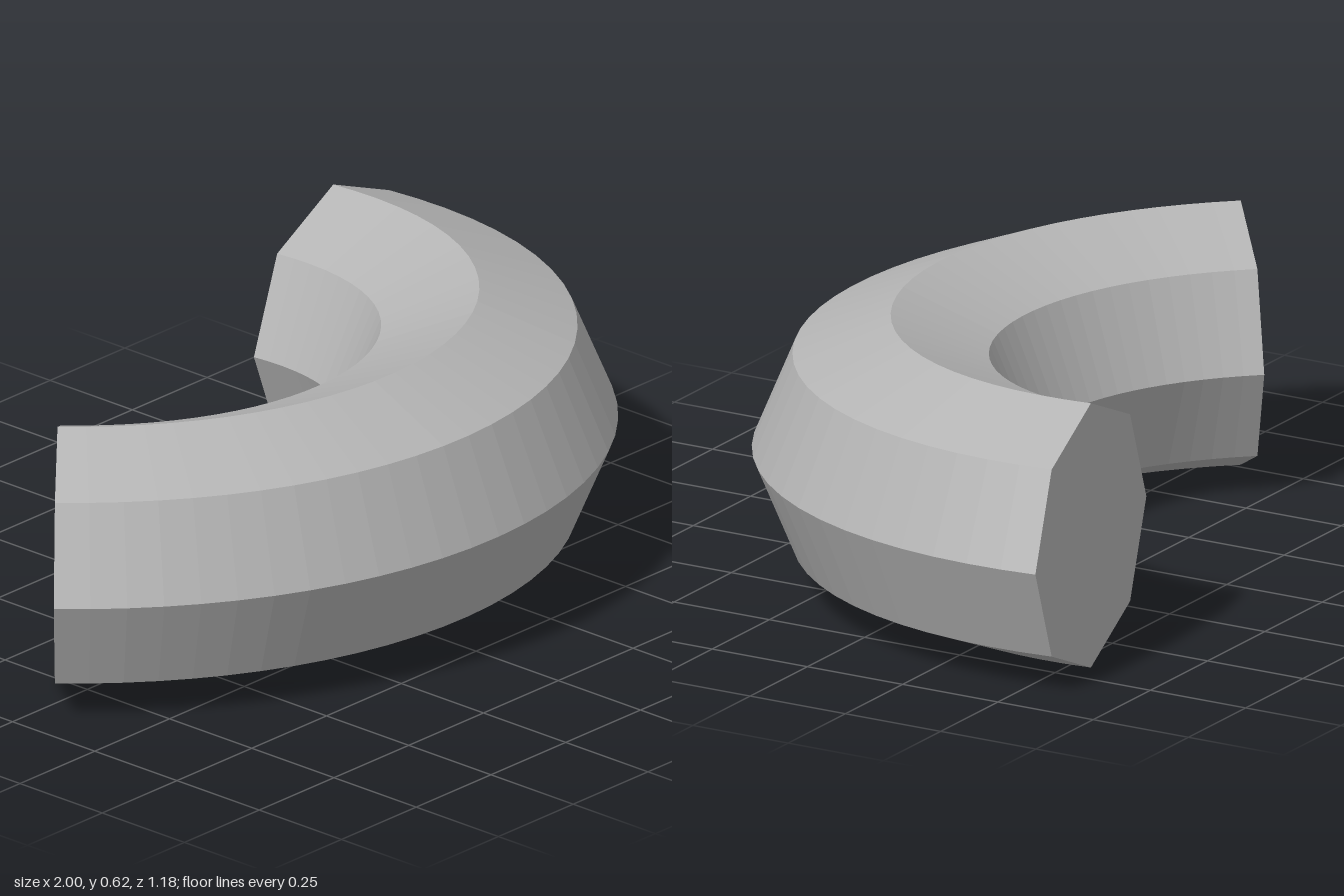
import * as THREE from 'three';

const RADIUS = 0.3125;
const SIDES = 8;

export function createModel() {
  const group = new THREE.Group();
  group.name = 'curvedTube';
  const grey = new THREE.MeshStandardMaterial({ color: 0xb4b4b4, flatShading: true });
  grey.name = 'grey';

  // Centre line of the bend, lying flat at half height
  const path = new THREE.CubicBezierCurve3(
    new THREE.Vector3(-0.765, RADIUS, -0.077),
    new THREE.Vector3(-0.194, RADIUS, 0.586),
    new THREE.Vector3(0.782, RADIUS, 0.252),
    new THREE.Vector3(0.677, RADIUS, -0.55)
  );

  // Octagonal body
  const body = new THREE.Mesh(new THREE.TubeGeometry(path, 32, RADIUS, SIDES, false), grey);
  body.name = 'tubeBody';
  group.add(body);

  // Flat end caps facing outward along the path
  for (const [name, t, sign] of [['rightEndCap', 0, -1], ['leftEndCap', 1, 1]]) {
    const cap = new THREE.Mesh(new THREE.CircleGeometry(RADIUS, SIDES), grey);
    cap.name = name;
    cap.position.copy(path.getPoint(t));
    cap.lookAt(cap.position.clone().addScaledVector(path.getTangent(t), sign));
    group.add(cap);
  }
  return group;
}
